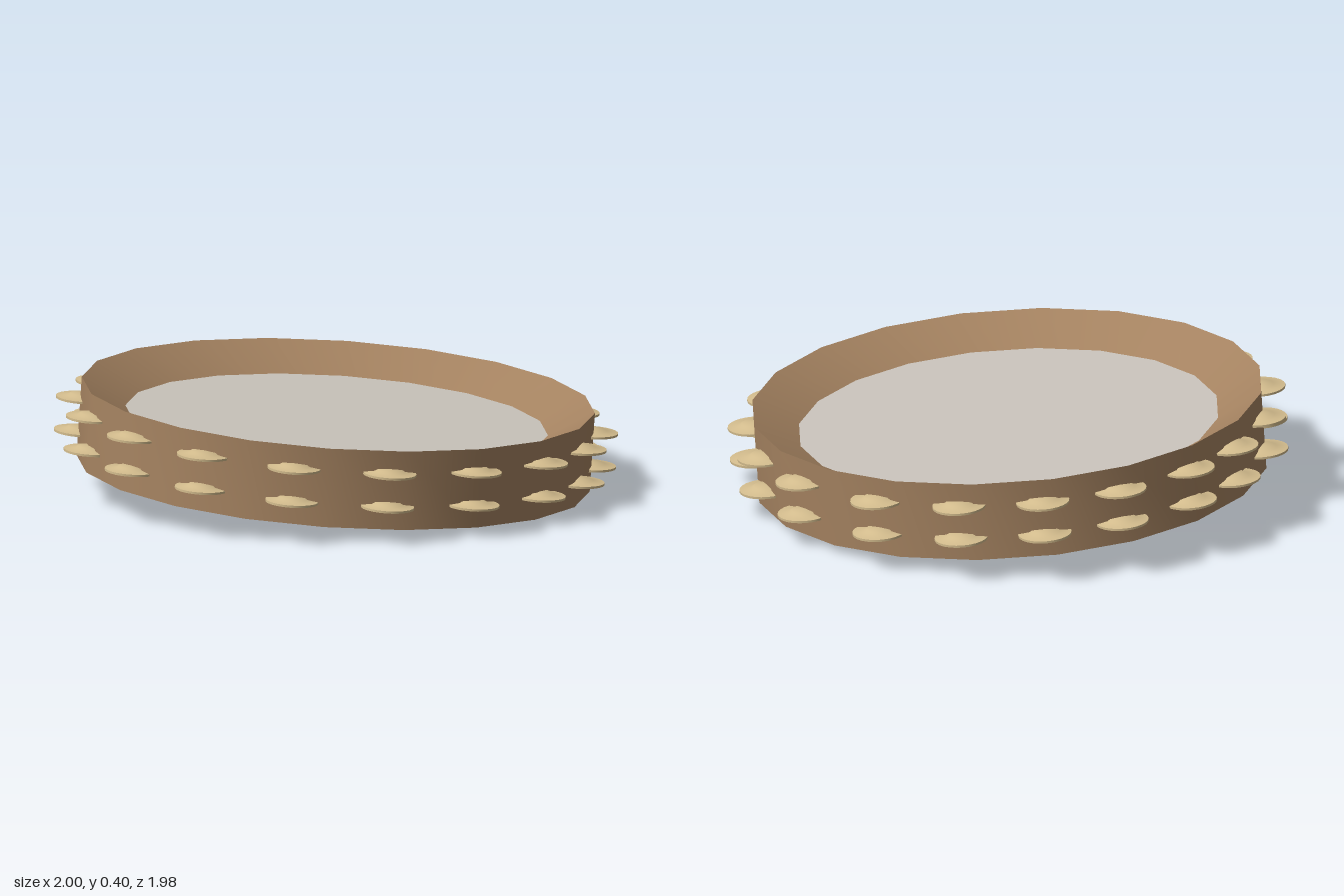
import * as THREE from 'three';
import { toCreasedNormals } from 'three/addons/utils/BufferGeometryUtils.js';

const material = (name, color) => {
  const m = new THREE.MeshStandardMaterial({ color });
  m.name = name;
  return m;
};

// Revolved profile, smooth around and sharp across its edges
function turned(points, sides) {
  const profile = points.map(([r, y]) => new THREE.Vector2(r, y));
  return toCreasedNormals(new THREE.LatheGeometry(profile, sides), 0.6);
}

export function createModel() {
  const wood = material('wood', 0xa48260);
  const skin = material('drum skin', 0xcac4bc);
  const brass = material('brass', 0xd3bc8d);

  const model = new THREE.Group();
  model.name = 'tambourine';
  const body = new THREE.Group();
  body.name = 'body';
  body.position.y = 0.2025;
  body.rotation.set(-0.016, 0, -0.0635);
  model.add(body);

  const add = (name, geometry, mat, parent = body) => {
    const mesh = new THREE.Mesh(geometry, mat);
    mesh.name = name;
    parent.add(mesh);
    return mesh;
  };

  // Rim with a triangular section: upright outside, pointed inside
  add('rim', turned([[0.912, -0.1425], [0.912, 0.1425], [0.664, 0], [0.912, -0.1425]], 20), wood);

  // Drum head filling the ring
  add('drumHead', new THREE.CylinderGeometry(0.752, 0.752, 0.1, 20), skin);

  // Two rows of lens-shaped jingles set into the rim
  const jingle = turned(
    [[0, -0.017], [0.045, -0.015], [0.055, -0.009], [0.095, -0.004],
      [0.095, 0.004], [0.055, 0.009], [0.045, 0.015], [0, 0.017]], 24);
  const angles = [-2.7, 16.6, 37.1, 58, 79.6, 101.5, 122.9, 143.5, 164,
    183, 199.4, 218.3, 236.5, 255.4, 275.3, 298.3, 317.8, 338.8];
  for (const [row, y] of [['upper', 0.06], ['lower', -0.06]]) {
    const group = new THREE.Group();
    group.name = row + 'Jingles';
    body.add(group);
    for (const degrees of angles) {
      const a = THREE.MathUtils.degToRad(degrees);
      add('jingle', jingle, brass, group).position.set(0.905 * Math.cos(a), y, 0.905 * Math.sin(a));
    }
  }
  return model;
}
